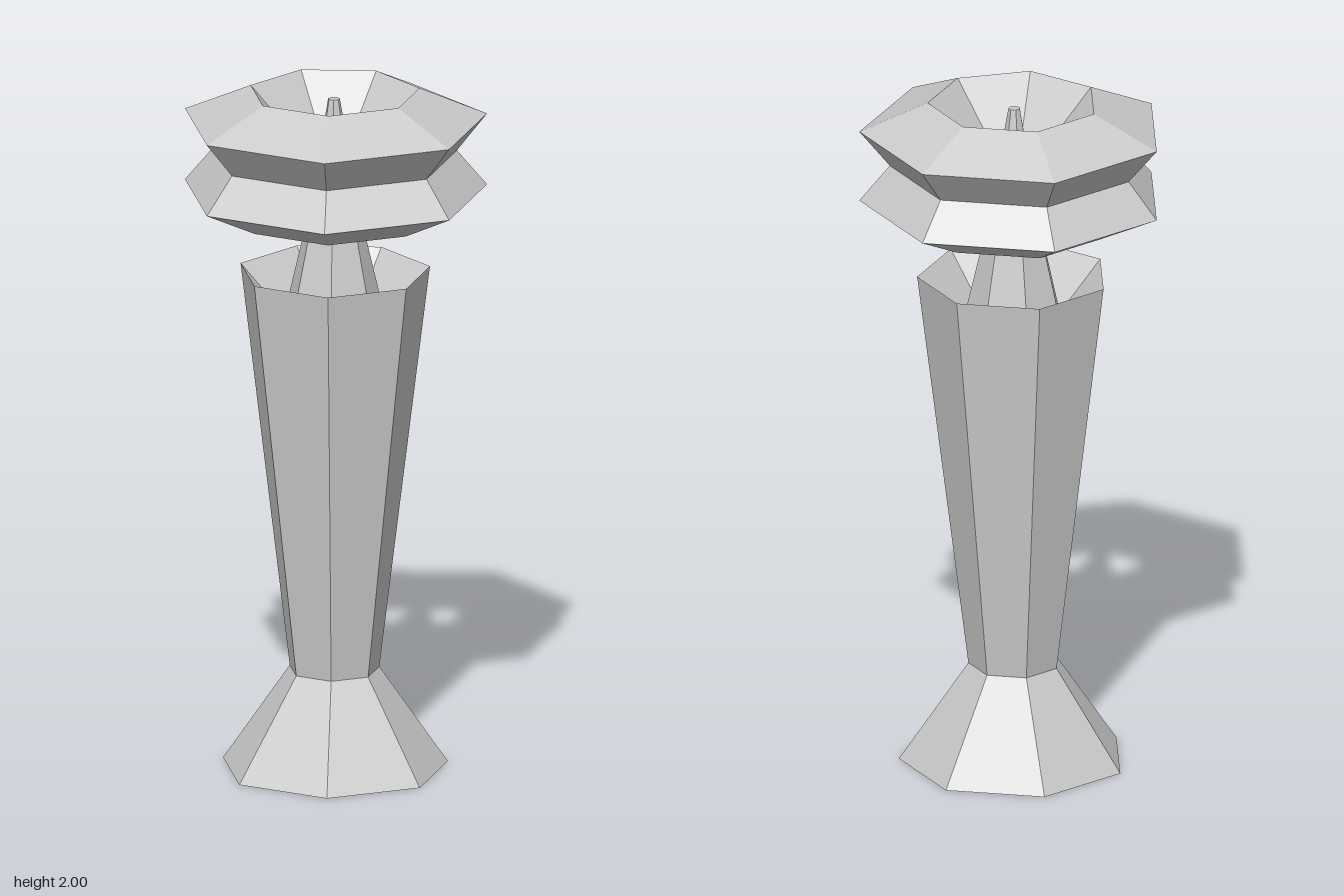
import * as THREE from 'three';

const SIDES = 7;

// Seven-sided faceted solid of revolution, one corner pointing to +x
function facetedLathe(name, profile) {
  const points = profile.map(([r, y]) => new THREE.Vector2(r, y));
  const geometry = new THREE.LatheGeometry(points, SIDES, Math.PI / 2);
  const material = new THREE.MeshStandardMaterial({ color: 0xcccccc, flatShading: true });
  const mesh = new THREE.Mesh(geometry, material);
  mesh.name = name;
  return mesh;
}

export function createModel() {
  const group = new THREE.Group();
  group.name = 'pedestal';

  // Flared foot, tapering shaft with a sunken mouth, and the spike rising from it
  group.add(facetedLathe('shaftAndSpike', [
    [0, 0], [0.329, 0],
    [0.131, 0.29],
    [0.277, 1.47],
    [0.147, 1.33],
    [0.078, 1.625],
    [0.017, 1.98], [0, 1.98],
  ]));

  // Hollow double-ridged ring around the spike, narrowing to a waist inside
  const waist = [0.122, 1.865];
  group.add(facetedLathe('ringHead', [
    waist,
    [0.276, 1.625],
    [0.442, 1.705],
    [0.355, 1.81],
    [0.442, 1.915],
    [0.247, 2.0],
    waist,
  ]));

  // A heptagon's bounds are off its axis, so shift to centre them
  group.children.forEach((part) => { part.position.x = -0.022; });
  return group;
}
